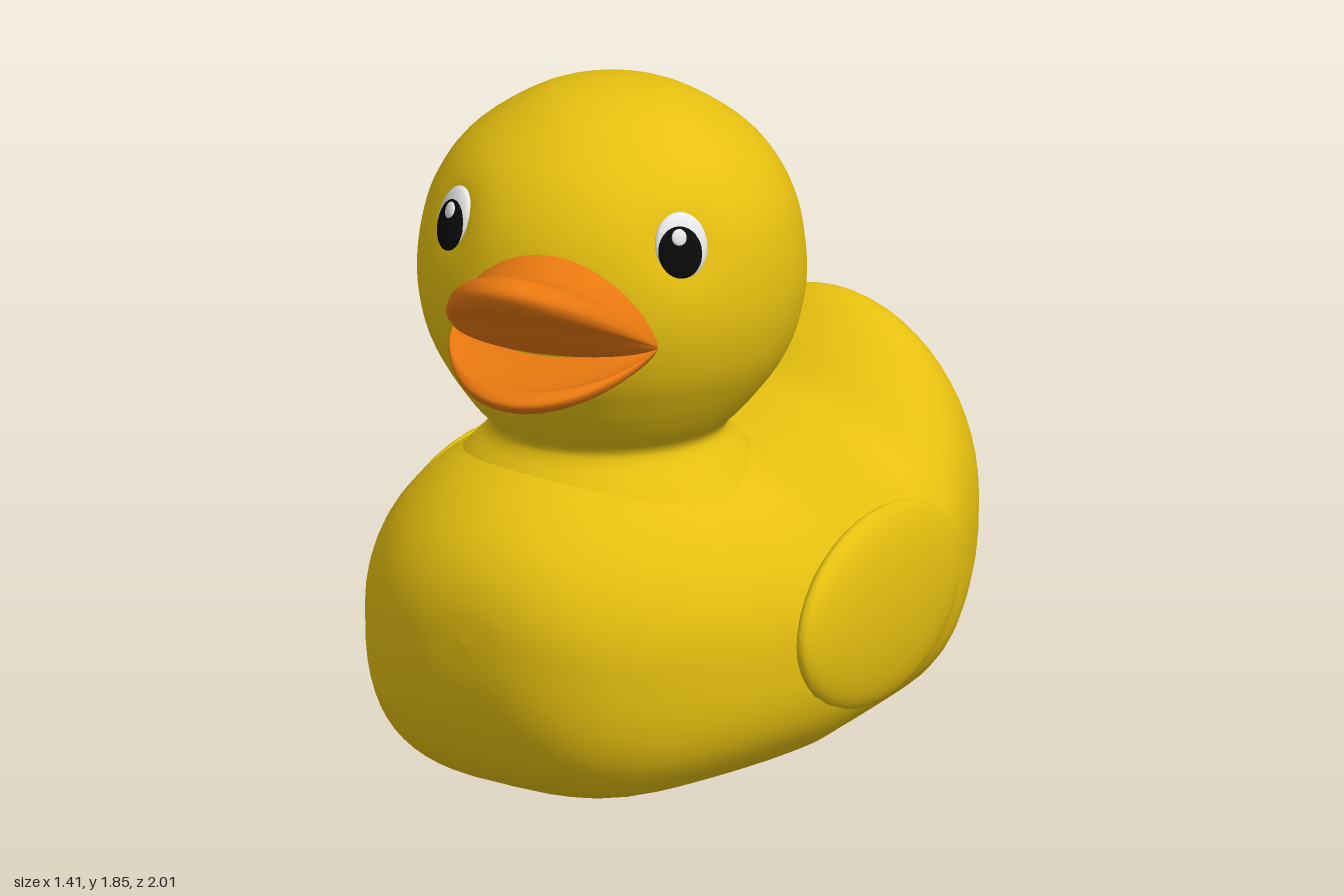
import * as THREE from 'three';
import { mergeVertices } from 'three/addons/utils/BufferGeometryUtils.js';

const material = (name, color) => {
  const m = new THREE.MeshStandardMaterial({ color });
  m.name = name;
  return m;
};

const part = (name, geometry, mat) => {
  const mesh = new THREE.Mesh(geometry, mat);
  mesh.name = name;
  return mesh;
};

// Smooth skin over closed rings that all have the same number of points
function loft(rings) {
  const n = rings[0].length, index = [];
  for (let i = 0; i < rings.length - 1; i++) {
    for (let j = 0; j < n; j++) {
      const k = (j + 1) % n;
      const a = i * n + j, b = i * n + k, c = a + n, d = b + n;
      index.push(a, c, b, b, c, d);
    }
  }
  const g = new THREE.BufferGeometry();
  g.setAttribute('position', new THREE.Float32BufferAttribute(rings.flat(2), 3));
  g.setIndex(index);
  g.computeVertexNormals();
  return g;
}

// Body and upturned tail: sections from chest to tail as z, half width, bottom, middle, top
function bodyGeometry() {
  const stations = [
    [0.87, 0, 0.48, 0.48, 0.48], [0.86, 0.14, 0.35, 0.48, 0.59], [0.82, 0.27, 0.2, 0.46, 0.69],
    [0.74, 0.39, 0.08, 0.44, 0.78], [0.6, 0.51, 0.01, 0.43, 0.865], [0.4, 0.61, 0, 0.42, 0.92],
    [0.1, 0.68, 0, 0.42, 0.92], [-0.1, 0.66, 0, 0.42, 0.87], [-0.38, 0.61, 0, 0.42, 0.82],
    [-0.5, 0.585, 0, 0.43, 0.845], [-0.62, 0.55, 0.02, 0.45, 0.94], [-0.75, 0.49, 0.08, 0.48, 1.02],
    [-0.85, 0.43, 0.17, 0.5, 0.98], [-0.92, 0.36, 0.26, 0.52, 0.87], [-0.98, 0.22, 0.4, 0.53, 0.69],
    [-1, 0, 0.53, 0.53, 0.53],
  ];
  const curve = (f) => new THREE.CatmullRomCurve3(
    stations.map((s) => new THREE.Vector3(...f(s))), false, 'catmullrom', 0.5);
  const plan = curve(([z, w, , mid]) => [z, w, mid]);
  const side = curve(([, , bottom, , top]) => [bottom, top, 0]);
  const rings = [];
  for (let i = 0; i <= 60; i++) {
    const { x: z, y: w, z: mid } = plan.getPoint(i / 60);
    const { x: bottom, y: top } = side.getPoint(i / 60);
    const ring = [];
    for (let j = 0; j < 56; j++) {
      const a = (j / 56) * Math.PI * 2, c = Math.cos(a), s = Math.sin(a);
      const e = s < 0 ? 2 / 3 : 1; // squarer below the middle, round above
      const x = w * Math.sign(c) * Math.abs(c) ** e;
      const y = s < 0 ? mid - (mid - Math.max(0, bottom)) * Math.abs(s) ** e : mid + (top - mid) * s;
      ring.push([x, y, z]);
    }
    rings.push(ring);
  }
  return loft(rings);
}

const EYE_ANGLE = 0.76, EYE_Y = 1.545, EYE_RADIUS = 0.46;

// Head and neck: a turned profile with a shallow socket at each eye
function headGeometry() {
  const profile = new THREE.SplineCurve([
    [0.46, 0.76], [0.41, 0.81], [0.36, 0.865], [0.32, 0.91], [0.318, 0.945], [0.37, 1], [0.445, 1.1],
    [0.49, 1.2], [0.512, 1.33], [0.498, 1.48], [0.455, 1.6], [0.37, 1.71], [0.22, 1.81], [0.1, 1.845], [0, 1.852],
  ].map((p) => new THREE.Vector2(...p)));
  const points = profile.getPoints(56);
  points.forEach((p) => { p.x = Math.max(0, p.x); });
  let g = new THREE.LatheGeometry(points, 56, Math.PI);
  g.deleteAttribute('uv');
  g.deleteAttribute('normal');
  g = mergeVertices(g, 1e-4);
  const pos = g.attributes.position, v = new THREE.Vector3();
  const sockets = [-1, 1].map((s) => new THREE.Vector3(
    s * 0.48 * Math.sin(EYE_ANGLE), EYE_Y, 0.48 * Math.cos(EYE_ANGLE)));
  for (let i = 0; i < pos.count; i++) {
    v.fromBufferAttribute(pos, i);
    let dent = 0;
    for (const s of sockets) dent += 0.025 * Math.exp(-v.distanceToSquared(s) / 0.009);
    const k = 1 - dent / 0.48;
    const shift = 0.03 * THREE.MathUtils.clamp((1.1 - v.y) / 0.18, 0, 1);
    pos.setXYZ(i, v.x * k, v.y, v.z * k + shift);
  }
  g.computeVertexNormals();
  return g;
}

// Half of the bill: a middle profile (forward, height) that shrinks towards the mouth corners
function billGeometry(profile) {
  const corner = [0.42, 1.285], halfWidth = 0.285;
  const outline = new THREE.CatmullRomCurve3(
    profile.map(([f, y]) => new THREE.Vector3(0, y, f)), true).getPoints(44).slice(0, -1);
  const rings = [];
  for (let i = 0; i <= 32; i++) {
    const t = (i / 32) * Math.PI, c = Math.max(0, Math.sin(t)) ** 1.3;
    rings.push(outline.map((p) => [
      halfWidth * Math.cos(t), corner[1] + (p.y - corner[1]) * c, corner[0] + (p.z - corner[0]) * c]));
  }
  return loft(rings);
}

function ellipsoid(name, mat, size, at) {
  const mesh = part(name, new THREE.SphereGeometry(1, 32, 20), mat);
  mesh.scale.set(...size);
  mesh.position.set(...at);
  return mesh;
}

export function createModel() {
  const yellow = material('yellow rubber', 0xe6c010);
  const orange = material('orange bill', 0xe87810);
  const black = material('black pupil', 0x0a0a0a);
  const white = material('eye white', 0xf0f0f0);

  const duck = new THREE.Group();
  duck.name = 'rubberDuck';
  duck.add(part('body', bodyGeometry(), yellow));

  // Wings: low swellings on the flanks
  for (const side of [-1, 1]) {
    const wing = ellipsoid(side > 0 ? 'leftWing' : 'rightWing', yellow,
      [0.073, 0.265, 0.42], [side * 0.617, 0.435, -0.14]);
    wing.rotation.y = side * 0.11;
    duck.add(wing);
  }

  // Head, turned a little to its left
  const head = new THREE.Group();
  head.name = 'head';
  head.position.z = 0.2;
  head.rotation.y = 0.27;
  head.add(part('headAndNeck', headGeometry(), yellow));

  // Open bill
  head.add(part('upperBill', billGeometry([
    [0.42, 1.53], [0.52, 1.52], [0.6, 1.51], [0.7, 1.53], [0.78, 1.558], [0.83, 1.53],
    [0.81, 1.48], [0.73, 1.42], [0.63, 1.33], [0.52, 1.265], [0.42, 1.255],
  ]), orange));
  head.add(part('lowerBill', billGeometry([
    [0.42, 1.28], [0.54, 1.24], [0.68, 1.225], [0.75, 1.23], [0.78, 1.205],
    [0.75, 1.175], [0.62, 1.16], [0.5, 1.155], [0.42, 1.17],
  ]), orange));

  // Eyes
  for (const side of [-1, 1]) {
    const eye = new THREE.Group();
    eye.name = side > 0 ? 'leftEye' : 'rightEye';
    eye.rotation.order = 'YXZ';
    eye.rotation.set(-0.3, side * EYE_ANGLE, 0);
    eye.position.set(side * EYE_RADIUS * Math.sin(EYE_ANGLE), EYE_Y, EYE_RADIUS * Math.cos(EYE_ANGLE));
    eye.add(ellipsoid('eyeWhite', white, [0.074, 0.088, 0.026], [0, 0, 0]));
    eye.add(ellipsoid('pupil', black, [0.064, 0.076, 0.026], [-side * 0.006, -0.011, 0.006]));
    eye.add(ellipsoid('highlight', white, [0.021, 0.023, 0.008], [-side * 0.014, 0.022, 0.028]));
    head.add(eye);
  }
  duck.add(head);
  return duck;
}
